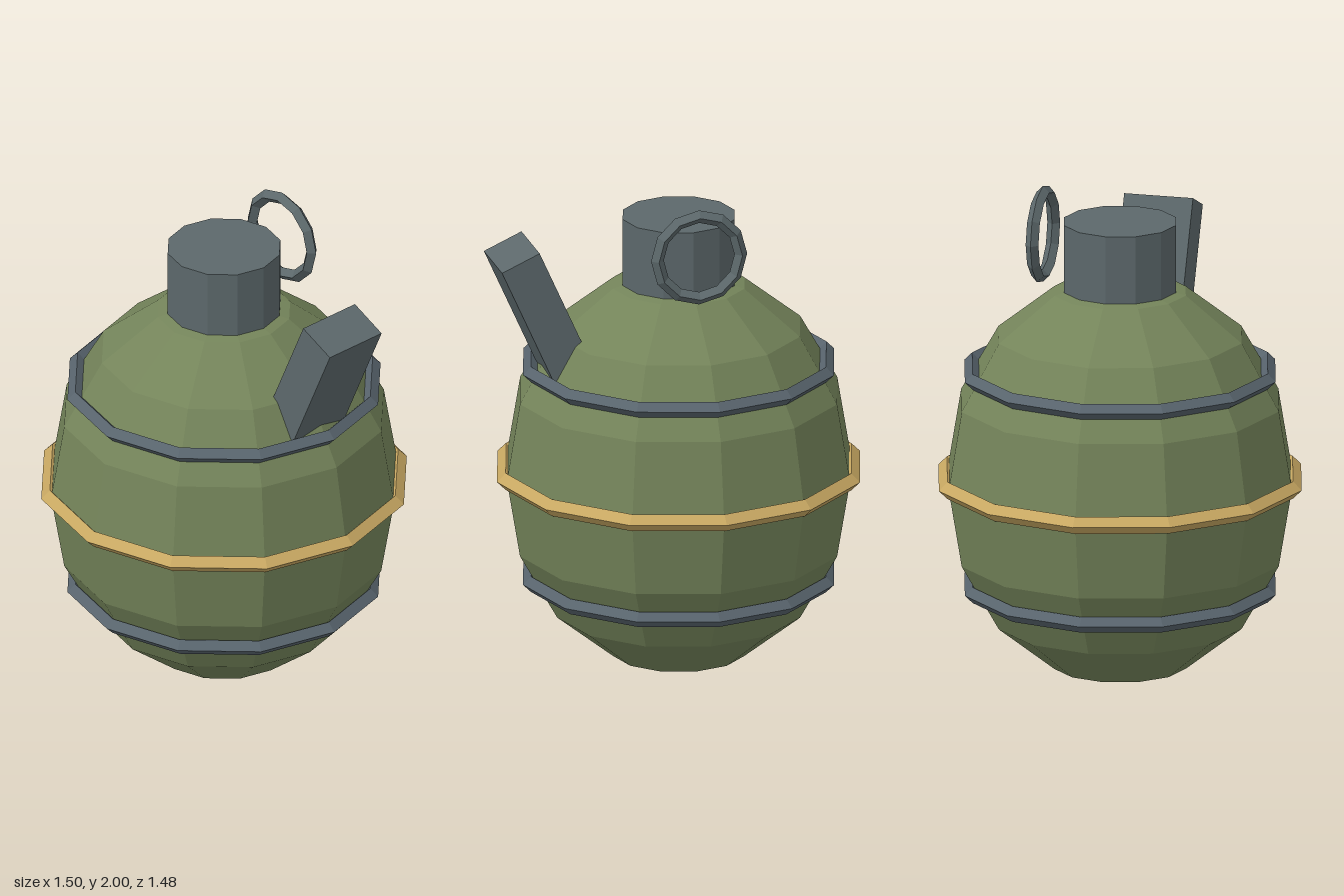
import * as THREE from 'three';

const mat = (name, color) => {
  const m = new THREE.MeshStandardMaterial({ color, flatShading: true });
  m.name = name;
  return m;
};

export function createModel() {
  const group = new THREE.Group();
  const olive = mat('olive green', 0x74845a);
  const steel = mat('steel grey', 0x5c686b);
  const band = mat('blue grey', 0x58646d);
  const brass = mat('brass', 0xc8a862);
  const MID = 0.828, CX = -0.005;

  const add = (name, geometry, material, x, y, z = 0) => {
    const mesh = new THREE.Mesh(geometry, material);
    mesh.name = name;
    mesh.position.set(x, y, z);
    group.add(mesh);
    return mesh;
  };

  // Faceted egg-shaped body
  const shell = new THREE.SphereGeometry(0.7, 12, 8).scale(1, MID / 0.7, 1);
  add('body', shell, olive, CX, MID);

  // Hoops with a diamond section
  const hoop = (name, radius, tube, material, y) =>
    add(name, new THREE.TorusGeometry(radius, tube, 4, 12).rotateX(Math.PI / 2), material, CX, y);
  hoop('middleBand', 0.705, 0.035, brass, MID);
  hoop('upperBand', 0.602, 0.032, band, MID + 0.437);
  hoop('lowerBand', 0.602, 0.032, band, MID - 0.437);

  // Neck cap
  add('neck', new THREE.CylinderGeometry(0.228, 0.228, 0.33, 12), steel, CX, 1.713);

  // Tilted lever, sunk into the shoulder
  const lever = add('lever', new THREE.BoxGeometry(0.168, 0.6, 0.28), steel, 0.553, 1.507);
  lever.rotation.z = -0.42;

  // Pull ring behind the neck
  add('pullRing', new THREE.TorusGeometry(0.17, 0.026, 4, 12), steel, CX, 1.804, -0.314);

  return group;
}
